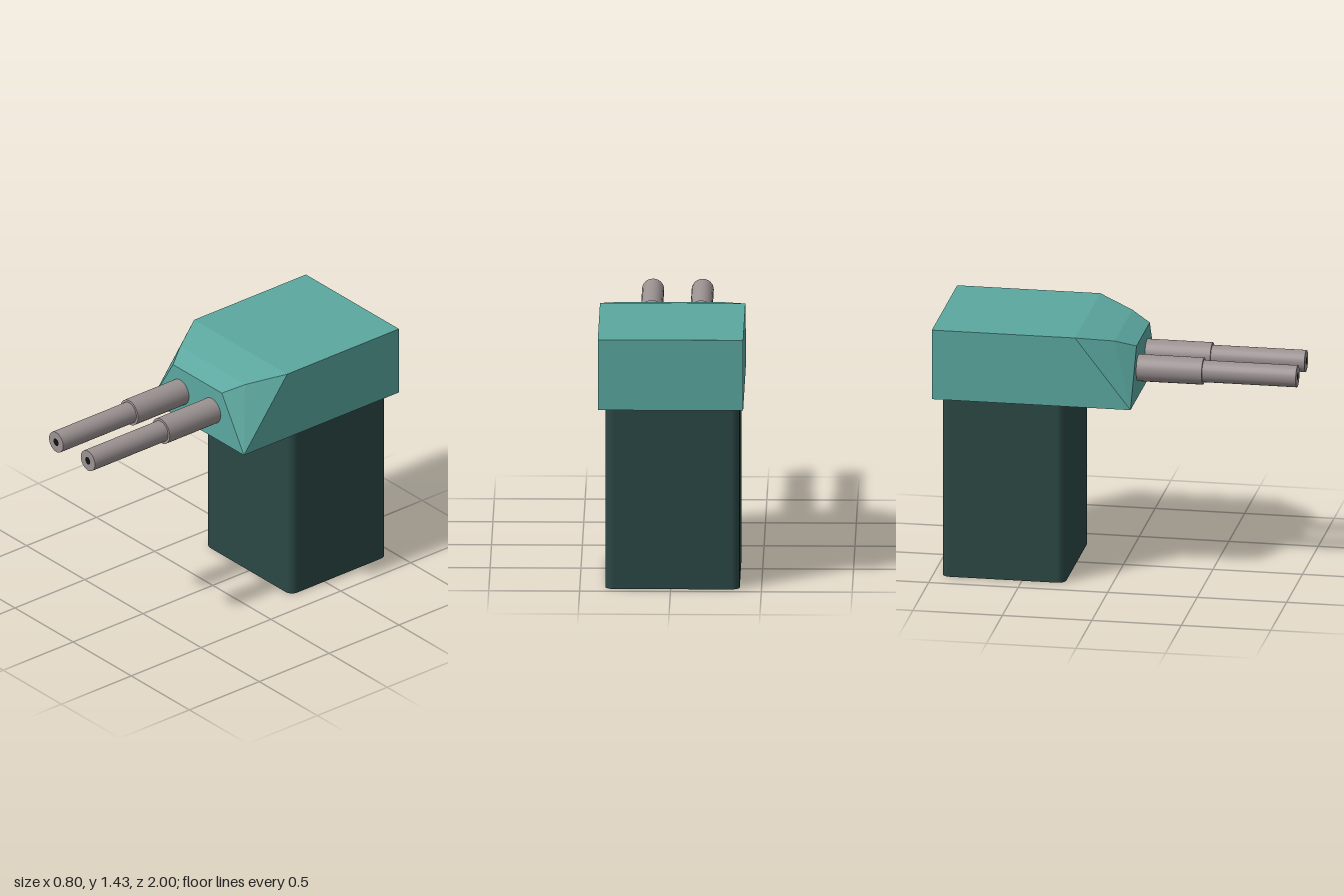
import * as THREE from 'three';

const paint = (color, extra = {}) => new THREE.MeshStandardMaterial({ color, ...extra });

// Flat-faced solid from convex polygons (corners counter-clockwise from outside)
function facets(polygons) {
  const pos = [];
  for (const p of polygons) {
    for (let i = 1; i < p.length - 1; i++) pos.push(...p[0], ...p[i], ...p[i + 1]);
  }
  const geo = new THREE.BufferGeometry();
  geo.setAttribute('position', new THREE.Float32BufferAttribute(pos, 3));
  geo.computeVertexNormals();
  return geo;
}

// Armoured head: a box whose upper front is chamfered in two steps
function housingGeometry() {
  const w = 0.4, y0 = 1.03, back = -1, front = 0.11;
  // half width, height, depth of the three chamfer rows
  const rows = [[w, 1.43, -0.2], [0.28, 1.385, 0], [0.21, 1.34, front]];
  const mirror = (p) => p.map(([x, y, z]) => [-x, y, z]).reverse();
  const across = (a, b) => [
    [-a[0], a[1], a[2]], [-b[0], b[1], b[2]], [b[0], b[1], b[2]], [a[0], a[1], a[2]],
  ];
  const toe = [w, y0, front];
  const sides = [
    [[w, y0, back], [w, 1.43, back], rows[0], toe],
    [toe, rows[0], rows[1]],
    [toe, rows[1], rows[2]],
  ];
  return facets([
    across([w, 1.43, back], rows[0]),
    across(rows[0], rows[1]),
    across(rows[1], rows[2]),
    across(rows[2], toe),
    across(toe, [w, y0, back]),
    across([w, y0, back], [w, 1.43, back]),
    ...sides,
    ...sides.map(mirror),
  ]);
}

// Pedestal wall: an open rounded-rectangle tube with smooth corners
function pedestalGeometry() {
  const hw = 0.37, hd = 0.345, r = 0.045, height = 1.03, steps = 5;
  const pos = [], norm = [], index = [];
  const corners = [[1, 1], [-1, 1], [-1, -1], [1, -1]];
  corners.forEach(([sx, sz], c) => {
    for (let i = 0; i <= steps; i++) {
      const a = (c + i / steps) * Math.PI / 2;
      const nx = Math.cos(a), nz = Math.sin(a);
      for (const y of [0, height]) {
        pos.push(sx * (hw - r) + r * nx, y, sz * (hd - r) + r * nz);
        norm.push(nx, 0, nz);
      }
    }
  });
  const n = pos.length / 6;
  for (let i = 0; i < n; i++) {
    const a = 2 * i, b = 2 * ((i + 1) % n);
    index.push(a, a + 1, b, b, a + 1, b + 1);
  }
  const geo = new THREE.BufferGeometry();
  geo.setAttribute('position', new THREE.Float32BufferAttribute(pos, 3));
  geo.setAttribute('normal', new THREE.Float32BufferAttribute(norm, 3));
  geo.setIndex(index);
  return geo;
}

export function createModel() {
  const model = new THREE.Group();
  const add = (parent, name, geo, mat, x = 0, y = 0, z = 0) => {
    const mesh = new THREE.Mesh(geo, mat);
    mesh.name = name;
    mesh.position.set(x, y, z);
    parent.add(mesh);
    return mesh;
  };

  add(model, 'pedestal', pedestalGeometry(),
    paint(0x2b4845, { side: THREE.DoubleSide }), -0.01, 0, -0.605);
  add(model, 'housing', housingGeometry(), paint(0x5ba8a0));

  // Twin stepped barrels with dark muzzles
  const metal = paint(0x9c9292), dark = paint(0x111111);
  const rod = (r, z0, z1) =>
    new THREE.CylinderGeometry(r, r, z1 - z0, 24).rotateX(Math.PI / 2).translate(0, 0, (z0 + z1) / 2);
  for (const [name, x] of [['rightBarrel', -0.147], ['leftBarrel', 0.126]]) {
    const barrel = new THREE.Group();
    barrel.name = name;
    barrel.position.set(x, 1.195, 0);
    add(barrel, 'sleeve', rod(0.075, 0.1, 0.475), metal);
    add(barrel, 'tube', rod(0.061, 0.47, 0.999), metal);
    add(barrel, 'bore', new THREE.CircleGeometry(0.022, 16), dark, 0, 0, 1);
    model.add(barrel);
  }
  return model;
}
